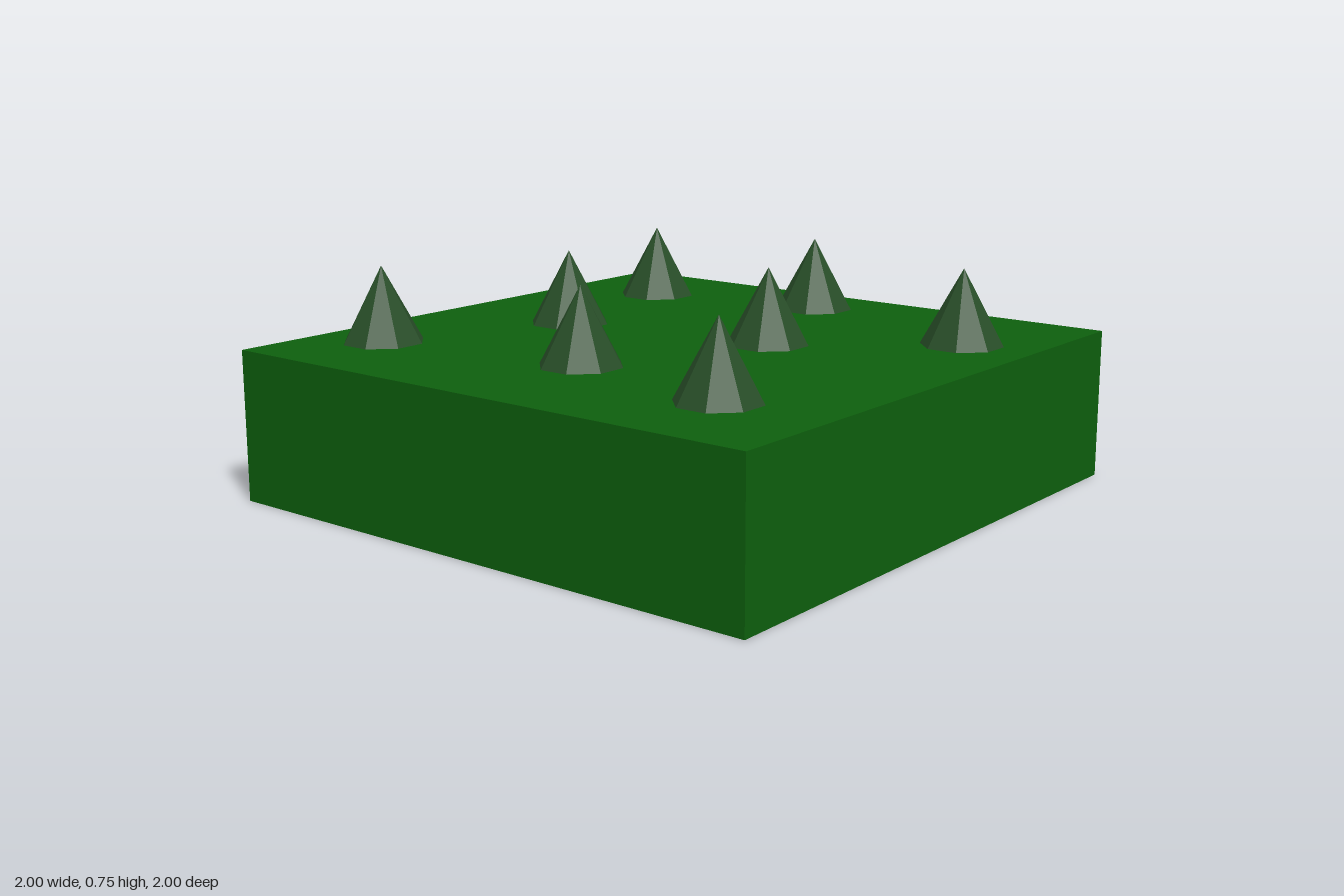
import * as THREE from 'three';

export function createModel() {
  const model = new THREE.Group();
  model.name = 'forestTile';

  const grass = new THREE.MeshStandardMaterial({ color: 0x0d5f0d });
  grass.name = 'grass green';
  const foliage = new THREE.MeshStandardMaterial({ color: 0x284e28, flatShading: true });
  foliage.name = 'dark foliage green';

  // Ground block
  const ground = new THREE.Mesh(new THREE.BoxGeometry(2, 0.5, 2), grass);
  ground.name = 'ground';
  ground.position.y = 0.25;
  model.add(ground);

  // Eight-sided conical trees, a flat side facing each axis
  const side = 0.125; // distance from the trunk axis to a flat side
  const treeGeometry = new THREE.ConeGeometry(side / Math.cos(Math.PI / 8), 0.25, 8);
  treeGeometry.rotateY(Math.PI / 8);
  treeGeometry.translate(0, 0.125, 0);

  const spots = [
    [-0.625, -0.75], [0, -0.5], [0.625, -0.625], [-0.5, 0],
    [0.75, 0], [0.125, 0.25], [-0.625, 0.625], [0.5, 0.75],
  ];
  const trees = new THREE.Group();
  trees.name = 'trees';
  spots.forEach(([x, z], i) => {
    const tree = new THREE.Mesh(treeGeometry, foliage);
    tree.name = `tree${i + 1}`;
    tree.position.set(x, 0.5, z);
    trees.add(tree);
  });
  model.add(trees);

  return model;
}
